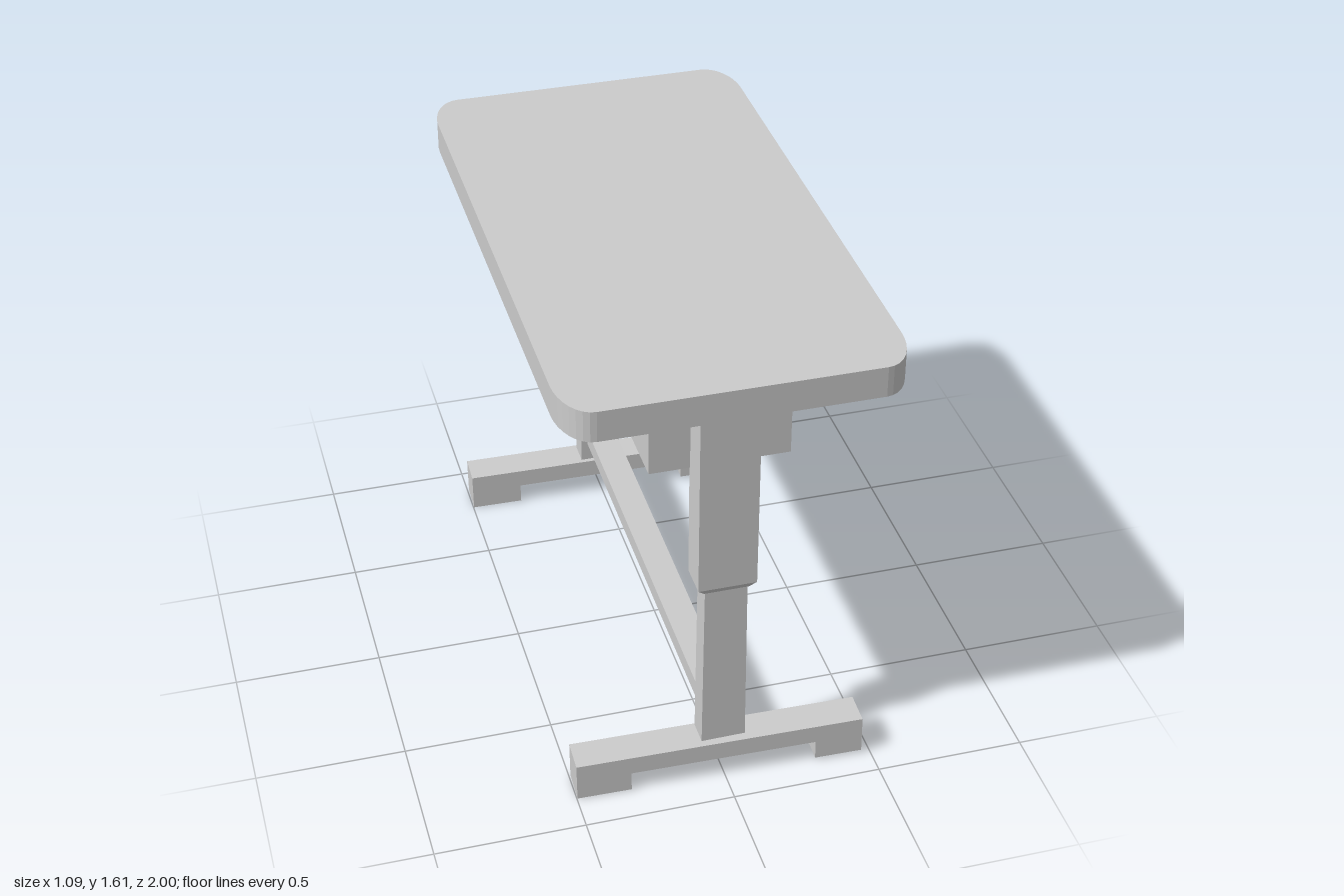
import * as THREE from 'three';

const material = new THREE.MeshStandardMaterial({ color: 0xcccccc, flatShading: true });

function add(parent, name, geometry) {
  const mesh = new THREE.Mesh(geometry, material);
  mesh.name = name;
  parent.add(mesh);
  return mesh;
}

// Axis-aligned box given by its lower and upper corners
function box(parent, name, [x0, y0, z0], [x1, y1, z1]) {
  const mesh = add(parent, name, new THREE.BoxGeometry(x1 - x0, y1 - y0, z1 - z0));
  mesh.position.set((x0 + x1) / 2, (y0 + y1) / 2, (z0 + z1) / 2);
  return mesh;
}

// Box whose bottom has a different half width and half depth from its top
function taperedBox(y0, y1, [bx, bz], [tx, tz]) {
  const geometry = new THREE.BoxGeometry(2, 1, 2);
  const p = geometry.attributes.position;
  for (let i = 0; i < p.count; i++) {
    const top = p.getY(i) > 0;
    p.setXYZ(i, p.getX(i) * (top ? tx : bx), top ? y1 : y0, p.getZ(i) * (top ? tz : bz));
  }
  geometry.computeVertexNormals();
  return geometry;
}

// Rectangular slab with elliptical corners
function tabletopGeometry(hx, hz, rx, rz, thickness) {
  const points = [];
  const corners = [[1, 1], [-1, 1], [-1, -1], [1, -1]];
  const steps = 8;
  corners.forEach(([sx, sz], c) => {
    for (let i = 0; i <= steps; i++) {
      const a = (c + i / steps) * Math.PI / 2;
      points.push(new THREE.Vector2(sx * (hx - rx) + rx * Math.cos(a), sz * (hz - rz) + rz * Math.sin(a)));
    }
  });
  const geometry = new THREE.ExtrudeGeometry(new THREE.Shape(points), { depth: thickness, bevelEnabled: false });
  return geometry.rotateX(-Math.PI / 2);
}

// Bridge-shaped foot: a beam with a pad under each end
function footGeometry(width) {
  const outline = [
    [-0.484, 0], [-0.302, 0], [-0.302, 0.07], [0.324, 0.07],
    [0.324, 0], [0.484, 0], [0.484, 0.136], [-0.484, 0.136],
  ].map(([x, y]) => new THREE.Vector2(x, y));
  return new THREE.ExtrudeGeometry(new THREE.Shape(outline), { depth: width, bevelEnabled: false })
    .translate(0, 0, -width / 2);
}

export function createModel() {
  const desk = new THREE.Group();
  desk.name = 'desk';

  add(desk, 'tabletop', tabletopGeometry(0.543, 1, 0.1, 0.17, 0.105)).position.y = 1.505;

  // Storage tray, open towards +x
  const tray = new THREE.Group();
  tray.name = 'tray';
  desk.add(tray);
  box(tray, 'trayFloor', [-0.228, 1.188, -0.77], [0.228, 1.198, 0.77]);
  box(tray, 'trayTop', [-0.228, 1.493, -0.77], [0.228, 1.5, 0.77]);
  box(tray, 'trayBack', [-0.228, 1.198, -0.735], [-0.218, 1.493, 0.735]);
  for (const s of [-1, 1]) {
    const z = [s * 0.735, s * 0.77].sort((a, b) => a - b);
    box(tray, 'trayEnd', [-0.228, 1.198, z[0]], [0.228, 1.493, z[1]]);
  }

  // Telescopic legs on slightly skewed feet
  for (const s of [-1, 1]) {
    const leg = new THREE.Group();
    leg.name = s > 0 ? 'frontLeg' : 'backLeg';
    leg.position.z = s * 0.82;
    desk.add(leg);
    add(leg, 'upperLeg', taperedBox(0.783, 1.505, [0.096, 0.057], [0.096, 0.057]));
    add(leg, 'legCollar', taperedBox(0.76, 0.783, [0.073, 0.043], [0.096, 0.057]));
    add(leg, 'lowerLeg', taperedBox(0.13, 0.76, [0.074, 0.042], [0.07, 0.041]));

    const foot = add(desk, 'foot', footGeometry(0.115));
    foot.position.set(-0.012, 0.007, s > 0 ? 0.832 : -0.817);
    foot.rotation.set(0, -0.034, 0.012);
  }

  // Stretcher between the legs, rising slightly towards the back
  const stretcher = box(desk, 'stretcher', [-0.05, 0.204, -0.79], [0.05, 0.266, 0.79]);
  stretcher.rotation.x = 0.0095;

  return desk;
}
